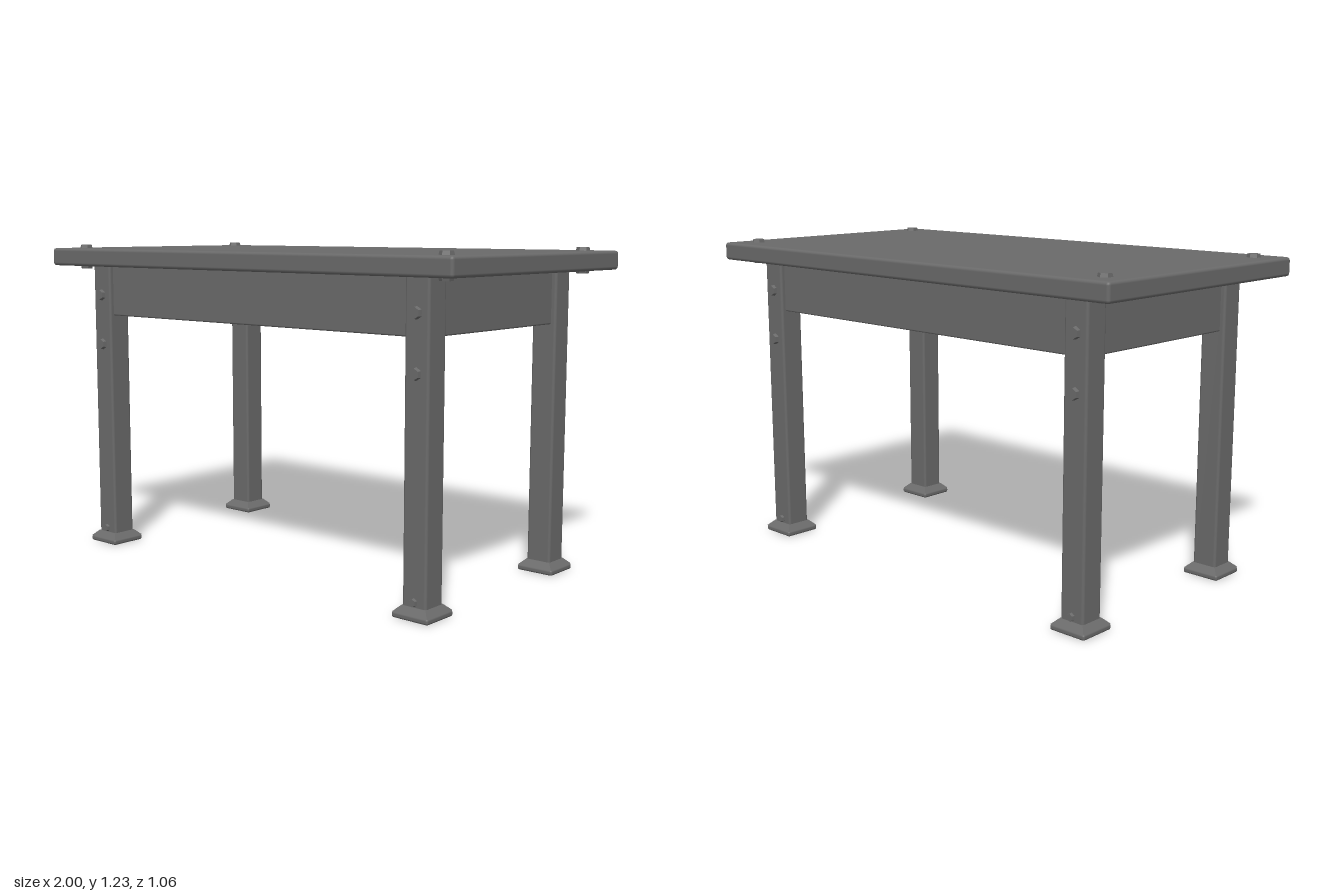
import * as THREE from 'three';
import { RoundedBoxGeometry } from 'three/addons/geometries/RoundedBoxGeometry.js';

export function createModel() {
  const table = new THREE.Group();
  table.name = 'table';
  const iron = new THREE.MeshStandardMaterial({ color: 0x6a6a6a });
  iron.name = 'dark grey';

  const add = (parent, name, geometry, x, y, z) => {
    const mesh = new THREE.Mesh(geometry, iron);
    mesh.name = name;
    mesh.position.set(x, y, z);
    parent.add(mesh);
    return mesh;
  };
  const box = (w, h, d, r) => new RoundedBoxGeometry(w, h, d, 2, r);

  // Slab with softened edges
  add(table, 'tableTop', box(2, 0.07, 1.06, 0.012), 0, 1.183, 0);

  const legX = 0.798, legZ = 0.393;

  // Aprons between the legs, set in slightly from the leg faces
  for (const s of [-1, 1]) {
    add(table, 'longApron', box(1.52, 0.205, 0.06, 0.006), 0, 1.05, s * legZ);
    add(table, 'endApron', box(0.06, 0.205, 0.72, 0.006), s * legX, 1.05, 0);
  }

  // Square flare joining foot plate and leg
  const flare = new THREE.CylinderGeometry(0.05 * Math.SQRT2, 0.073 * Math.SQRT2, 0.022, 4)
    .rotateY(Math.PI / 4).toNonIndexed();
  flare.computeVertexNormals();
  const hexHead = (r, h) => {
    const g = new THREE.CylinderGeometry(r * 0.85, r, h, 6).toNonIndexed();
    g.computeVertexNormals();
    return g;
  };
  const topHead = hexHead(0.027, 0.016), nut = hexHead(0.027, 0.016);
  const sideHead = hexHead(0.023, 0.016), footHead = hexHead(0.016, 0.014);

  for (const sx of [-1, 1]) for (const sz of [-1, 1]) {
    const leg = new THREE.Group();
    leg.name = 'leg';
    leg.position.set(sx * legX, 0, sz * legZ);
    table.add(leg);
    add(leg, 'legPost', box(0.1, 1.14, 0.096, 0.01), 0, 0.585, 0);
    add(leg, 'footPlate', box(0.152, 0.022, 0.148, 0.008), 0, 0.011, 0);
    add(leg, 'footFlare', flare, 0, 0.032, 0);

    // Bolts on the outer face of the leg
    for (const y of [1.03, 0.83]) {
      add(leg, 'legBolt', sideHead, 0, y, sz * 0.054).rotation.x = sz * Math.PI / 2;
    }
    add(leg, 'footBolt', footHead, 0, 0.06, sz * 0.052).rotation.x = sz * Math.PI / 2;

    // Bolt through the slab with a nut beneath
    add(table, 'topBolt', topHead, sx * 0.905, 1.223, sz * 0.43);
    add(table, 'topNut', nut, sx * 0.905, 1.143, sz * 0.43).rotation.x = Math.PI;
  }
  return table;
}
